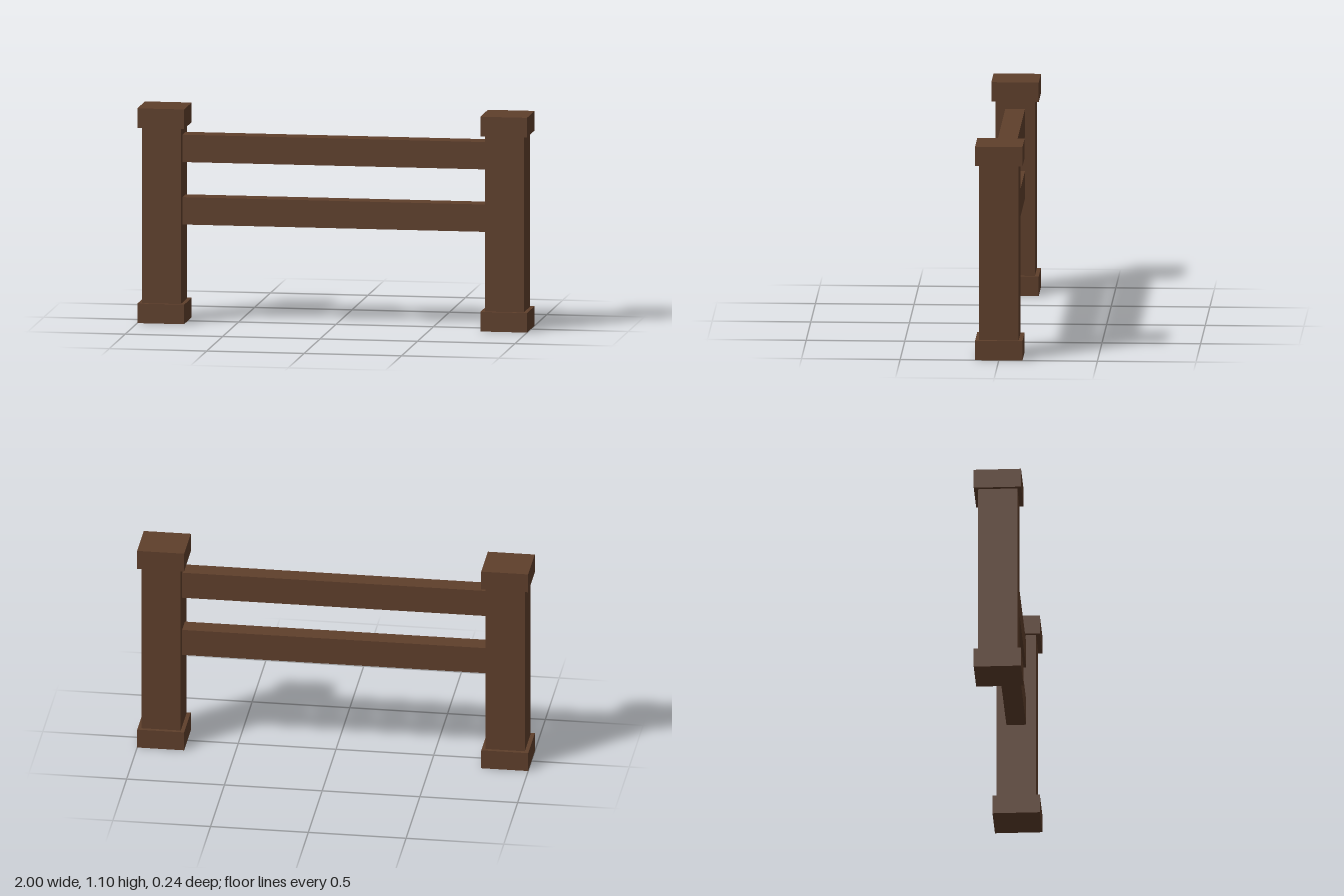
import * as THREE from 'three';

export function createModel() {
  const model = new THREE.Group();
  model.name = 'fence';
  const wood = new THREE.MeshStandardMaterial({ color: 0x5f3f2b });
  wood.name = 'brown wood';

  // Box standing on height y
  const addBox = (parent, name, w, h, d, y) => {
    const mesh = new THREE.Mesh(new THREE.BoxGeometry(w, h, d), wood);
    mesh.name = name;
    mesh.position.y = y + h / 2;
    parent.add(mesh);
  };

  // Posts with a wider foot and cap
  for (const [name, side] of [['leftPost', 1], ['rightPost', -1]]) {
    const post = new THREE.Group();
    post.name = name;
    post.position.x = side * 0.88;
    addBox(post, 'foot', 0.24, 0.1, 0.24, 0);
    addBox(post, 'shaft', 0.2, 0.9, 0.2, 0.1);
    addBox(post, 'cap', 0.24, 0.1, 0.24, 1.0);
    model.add(post);
  }

  // Rails between the posts
  addBox(model, 'lowerRail', 1.56, 0.14, 0.1, 0.5);
  addBox(model, 'upperRail', 1.56, 0.14, 0.1, 0.82);

  return model;
}
